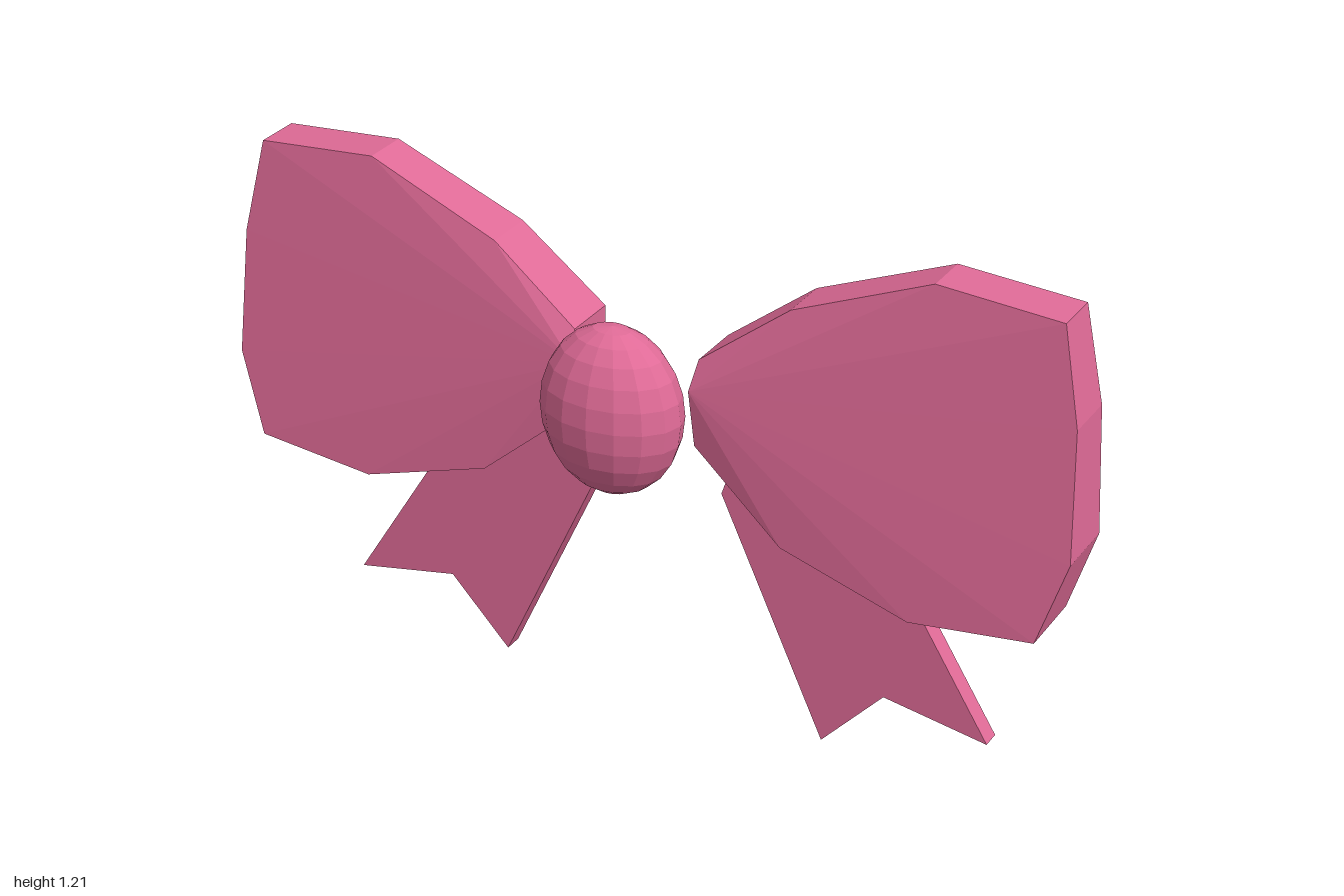
import * as THREE from 'three';

const pink = new THREE.MeshStandardMaterial({ color: 0xe06b97, flatShading: true });
pink.name = 'ribbon pink';

const BACK = -0.16;

// Loop outline, counter-clockwise from the inner lower corner
const loopOutline = [
  [0.148, 0.73], [0.36, 0.55], [0.66, 0.46], [0.94, 0.49], [1.0, 0.68],
  [0.985, 0.97], [0.94, 1.185], [0.66, 1.205], [0.35, 1.08], [0.148, 0.925],
];

// Tail outline with the notched end
const tailOutline = [
  [0.21, 0.75], [0.145, 0.55], [0.4, 0], [0.545, 0.155], [0.79, 0.11], [0.41, 0.72],
];

// Front rim leans back towards the top
const frontZ = (y) => 0.012 - 0.085 * (y - 0.46);

// Hollow bow loop: shallow front fan, straight rim and a deep concave back fan
function loopGeometry(side) {
  const positions = [];
  const tri = (a, b, c) => {
    const corners = side > 0 ? [a, b, c] : [a, c, b];
    corners.forEach(([x, y, z]) => positions.push(x * side, y, z));
  };
  const frontApex = [0.138, 0.86, 0.0];
  const backApex = [0.155, 0.86, -0.045];
  loopOutline.forEach(([x, y], i) => {
    const [x2, y2] = loopOutline[(i + 1) % loopOutline.length];
    const af = [x, y, frontZ(y)], bf = [x2, y2, frontZ(y2)];
    const ab = [x, y, BACK], bb = [x2, y2, BACK];
    tri(frontApex, af, bf);
    tri(backApex, bb, ab);
    tri(af, ab, bb);
    tri(af, bb, bf);
  });
  const geometry = new THREE.BufferGeometry();
  geometry.setAttribute('position', new THREE.Float32BufferAttribute(positions, 3));
  geometry.computeVertexNormals();
  return geometry;
}

// Flat hanging tail
function tailGeometry(side) {
  const shape = new THREE.Shape(tailOutline.map(([x, y]) => new THREE.Vector2(x * side, y)));
  const geometry = new THREE.ExtrudeGeometry(shape, { depth: 0.045, bevelEnabled: false });
  geometry.translate(0, 0, -0.19);
  return geometry;
}

export function createModel() {
  const model = new THREE.Group();
  model.name = 'ribbonBow';
  const add = (name, geometry) => {
    const mesh = new THREE.Mesh(geometry, pink);
    mesh.name = name;
    model.add(mesh);
    return mesh;
  };

  // Faceted knot
  const knot = add('knot', new THREE.SphereGeometry(1, 16, 12));
  knot.scale.set(0.162, 0.192, 0.113);
  knot.position.set(0, 0.82, 0.076);

  // Mirrored loops and tails
  for (const [label, side] of [['left', 1], ['right', -1]]) {
    add(label + 'Loop', loopGeometry(side));
    add(label + 'Tail', tailGeometry(side));
  }
  return model;
}
